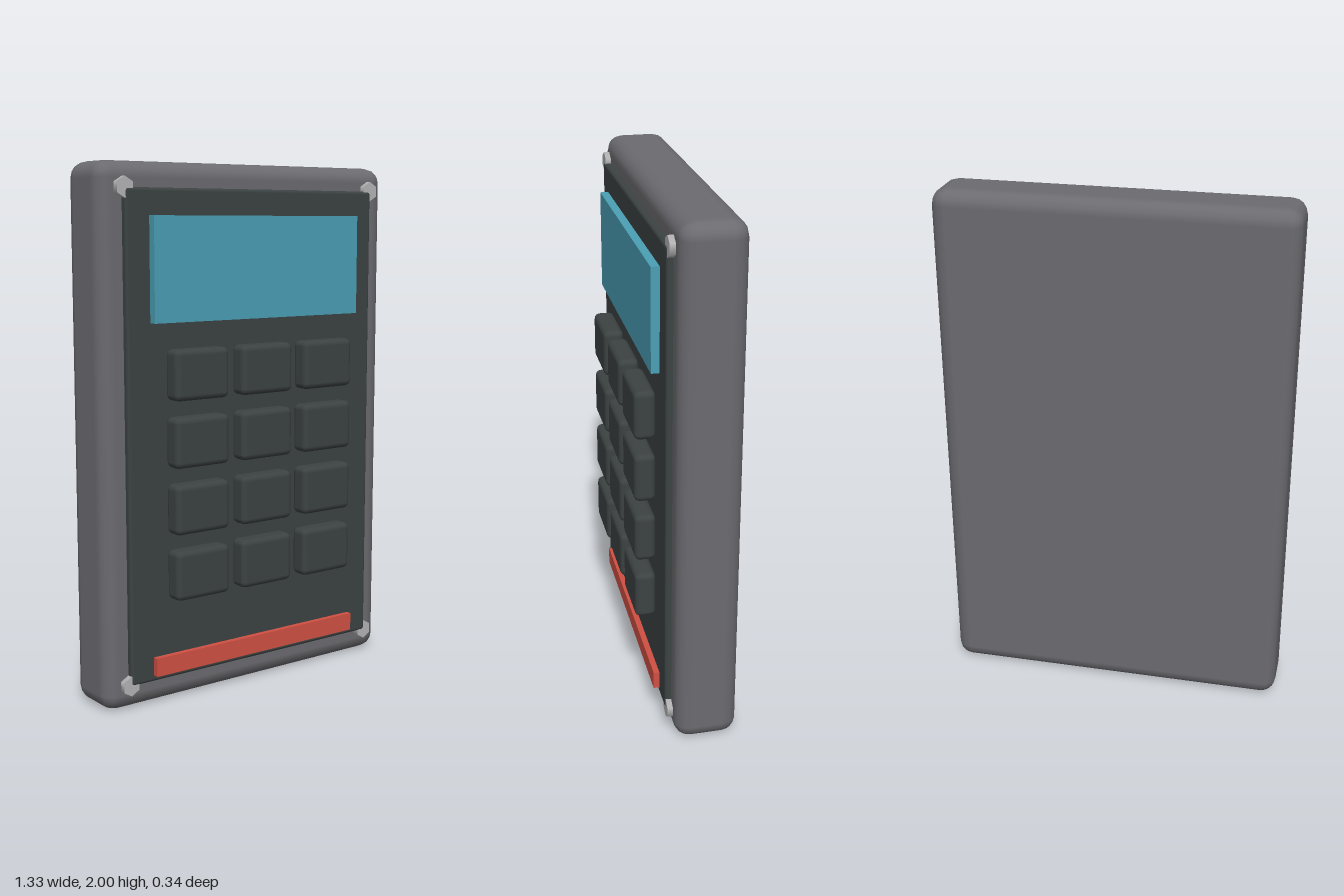
import * as THREE from 'three';
import { RoundedBoxGeometry } from 'three/addons/geometries/RoundedBoxGeometry.js';

function material(name, color) {
  const m = new THREE.MeshStandardMaterial({ color });
  m.name = name;
  return m;
}

export function createModel() {
  const group = new THREE.Group();
  group.name = 'keypad';

  const grey = material('casing grey', 0x6b6b70);
  const dark = material('charcoal', 0x3c4242);
  const blue = material('display blue', 0x4a9fb5);
  const red = material('strip red', 0xd05044);
  const silver = material('screw silver', 0xb4b4b6);

  // Places a box by its centre in x and y and its back and front in z
  function addBox(name, mat, w, h, x, y, back, front, radius = 0, segments = 2) {
    const d = front - back;
    const geometry = radius
      ? new RoundedBoxGeometry(w, h, d, segments, radius)
      : new THREE.BoxGeometry(w, h, d);
    const mesh = new THREE.Mesh(geometry, mat);
    mesh.name = name;
    mesh.position.set(x, y, (back + front) / 2);
    group.add(mesh);
  }

  // Casing, front plate, display and bottom strip
  addBox('casing', grey, 1.33, 2, 0, 1, -0.17, 0.068, 0.06, 2);
  addBox('frontPlate', dark, 1.145, 1.81, 0, 1.002, 0.045, 0.092, 0.012, 2);
  addBox('display', blue, 0.95, 0.38, 0, 1.62, 0.08, 0.123);
  addBox('bottomStrip', red, 0.95, 0.07, 0, 0.156, 0.08, 0.114);

  // Keys: four rows of three
  for (let row = 0; row < 4; row++) {
    for (let col = -1; col <= 1; col++) {
      addBox('key', dark, 0.238, 0.187, col * 0.297, 1.242 - row * 0.247, 0.091, 0.17, 0.022, 2);
    }
  }

  // Hexagonal corner screws
  const screwGeometry = new THREE.CylinderGeometry(0.038, 0.038, 0.04, 6);
  screwGeometry.rotateX(Math.PI / 2);
  for (const x of [-0.571, 0.571]) {
    for (const y of [0.098, 1.907]) {
      const screw = new THREE.Mesh(screwGeometry, silver);
      screw.name = 'cornerScrew';
      screw.position.set(x, y, 0.069);
      group.add(screw);
    }
  }

  return group;
}
